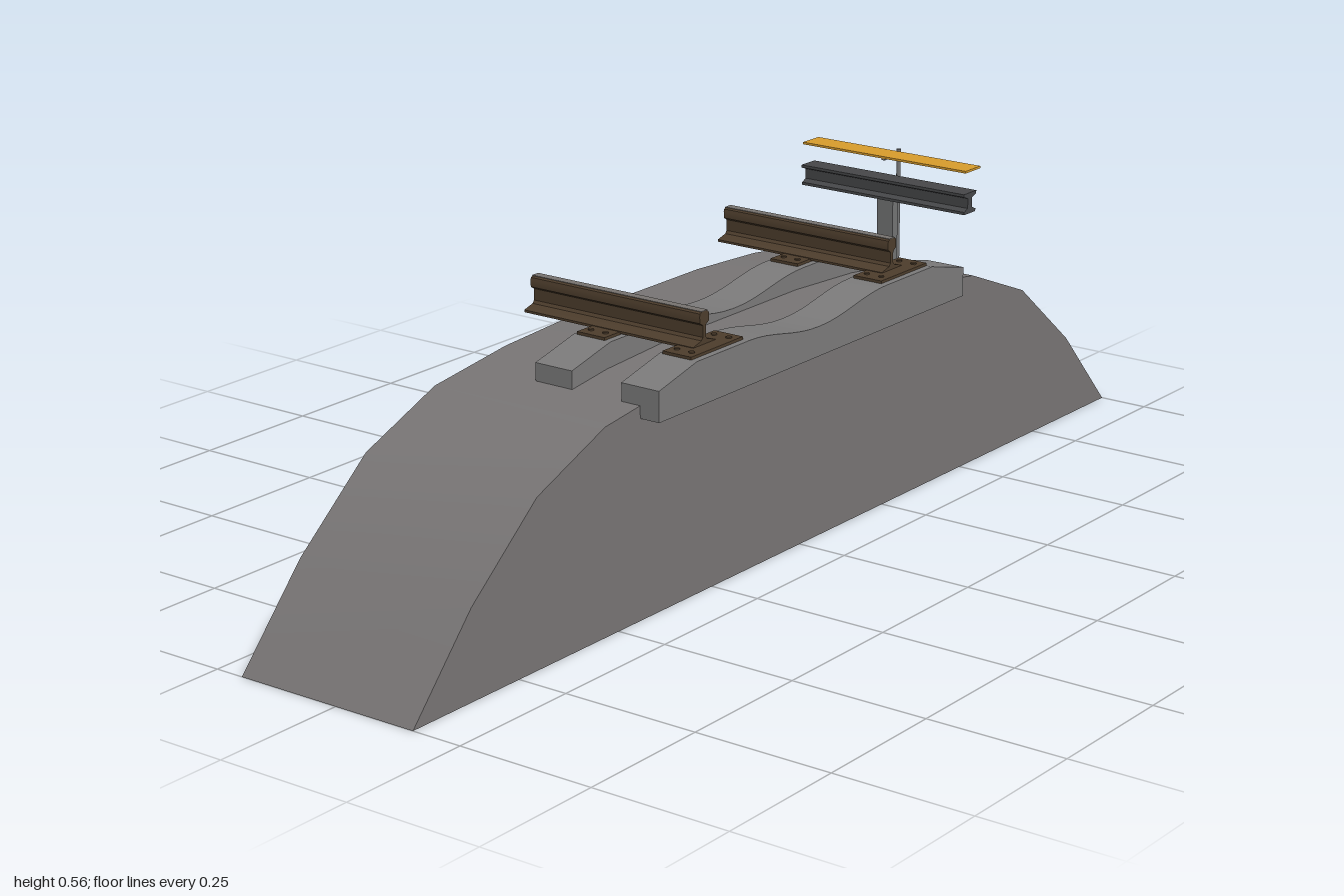
import * as THREE from 'three';
import { toCreasedNormals } from 'three/addons/utils/BufferGeometryUtils.js';

const mat = (name, color) => {
  const m = new THREE.MeshStandardMaterial({ color });
  m.name = name;
  return m;
};

// Mirrors a half outline (positive z side, bottom to top) into a closed symmetric shape.
function mirroredShape(half) {
  const other = half.slice().reverse().map(([z, y]) => [-z, y]);
  return new THREE.Shape([...half, ...other].map(([z, y]) => new THREE.Vector2(z, y)));
}

// Extrudes a z-y outline along x, from x0 to x1.
function alongX(shape, x0, x1) {
  const g = new THREE.ExtrudeGeometry(shape, { depth: x1 - x0, bevelEnabled: false });
  g.rotateY(Math.PI / 2);
  g.translate(x0, 0, 0);
  return toCreasedNormals(g, 0.6);
}

export function createModel() {
  const model = new THREE.Group();
  model.name = 'trackSection';

  const ballast = mat('ballast grey', 0x787575);
  const concrete = mat('sleeper concrete', 0x7c7b7b);
  const rust = mat('rusty rail', 0x4d3d2c);
  const polished = mat('polished rail top', 0x77736f);
  const dark = mat('dark conductor steel', 0x464749);
  const steel = mat('support steel', 0x737475);
  const yellow = mat('cover yellow', 0xd79c2c);

  const add = (name, geometry, material, parent = model) => {
    const mesh = new THREE.Mesh(geometry, material);
    mesh.name = name;
    parent.add(mesh);
    return mesh;
  };
  const box = (name, w, h, d, x, y, z, material, parent) =>
    add(name, new THREE.BoxGeometry(w, h, d).translate(x, y, z), material, parent);

  const X0 = -0.197, X1 = 0.157, LENGTH = X1 - X0, MID = (X0 + X1) / 2;
  const sleeperX = [-0.02, 0.157];
  const railZ = 0.27;

  // Ballast mound
  add('ballastBed', alongX(mirroredShape([
    [1, 0], [0.86, 0.155], [0.7, 0.287], [0.53, 0.355], [0.35, 0.378], [0.18, 0.387],
  ]), X0, X1), ballast);

  // Sleepers with a dished middle and sloping ends
  const sleeperHalf = [[0.44, 0.345], [0.44, 0.398], [0.34, 0.422], [0.2, 0.422]];
  for (let i = 1; i <= 8; i++) {
    const t = i / 8;
    sleeperHalf.push([0.2 * (1 - t) + 0.004 * t, 0.3975 + 0.0245 * (0.5 + 0.5 * Math.cos(Math.PI * t))]);
  }
  const sleeperShape = mirroredShape(sleeperHalf);
  sleeperX.forEach((x) => add('sleeper', alongX(sleeperShape, x - 0.038, x + 0.038), concrete));

  // Running rails: foot, web and rounded head
  const railShape = mirroredShape([
    [0.03, 0.424], [0.03, 0.428], [0.008, 0.434], [0.004, 0.439], [0.004, 0.459],
    [0.012, 0.464], [0.0125, 0.476], [0.011, 0.48], [0.007, 0.4825],
  ]);
  for (const side of [1, -1]) {
    const rail = new THREE.Group();
    rail.name = 'runningRail';
    rail.position.z = side * railZ;
    model.add(rail);
    add('railBody', alongX(railShape, X0, X1), rust, rail);
    box('runningSurface', LENGTH, 0.001, 0.016, MID, 0.483, 0, polished, rail);

    // Base plates and bolts under each rail
    for (const x of sleeperX) {
      box('basePlate', 0.058, 0.005, 0.14, x - 0.003, 0.4245, 0, rust, rail);
      for (const bx of [-0.018, 0.012]) {
        for (const bz of [-0.05, 0.05]) {
          add('plateBolt', new THREE.CylinderGeometry(0.005, 0.005, 0.003, 6)
            .translate(x + bx, 0.428, bz), rust, rail);
        }
      }
    }
  }

  // Conductor rail: I-section carried on a post
  const conductor = new THREE.Group();
  conductor.name = 'conductorRail';
  conductor.position.z = -0.516;
  model.add(conductor);
  add('conductorBeam', alongX(mirroredShape([
    [0.018, 0.474], [0.018, 0.479], [0.007, 0.484], [0.007, 0.502], [0.02, 0.507], [0.02, 0.512],
  ]), X0, X1), dark, conductor);
  box('conductorPost', 0.034, 0.136, 0.016, -0.02, 0.406, 0, steel, conductor);

  // Protective cover board with its rod and arm
  box('coverBoard', LENGTH, 0.004, 0.048, MID, 0.552, -0.524, yellow);
  add('coverRod', new THREE.CylinderGeometry(0.004, 0.004, 0.218, 10)
    .translate(-0.02, 0.449, -0.55), steel);
  box('coverArm', 0.006, 0.003, 0.048, -0.02, 0.5485, -0.524, steel);

  return model;
}
